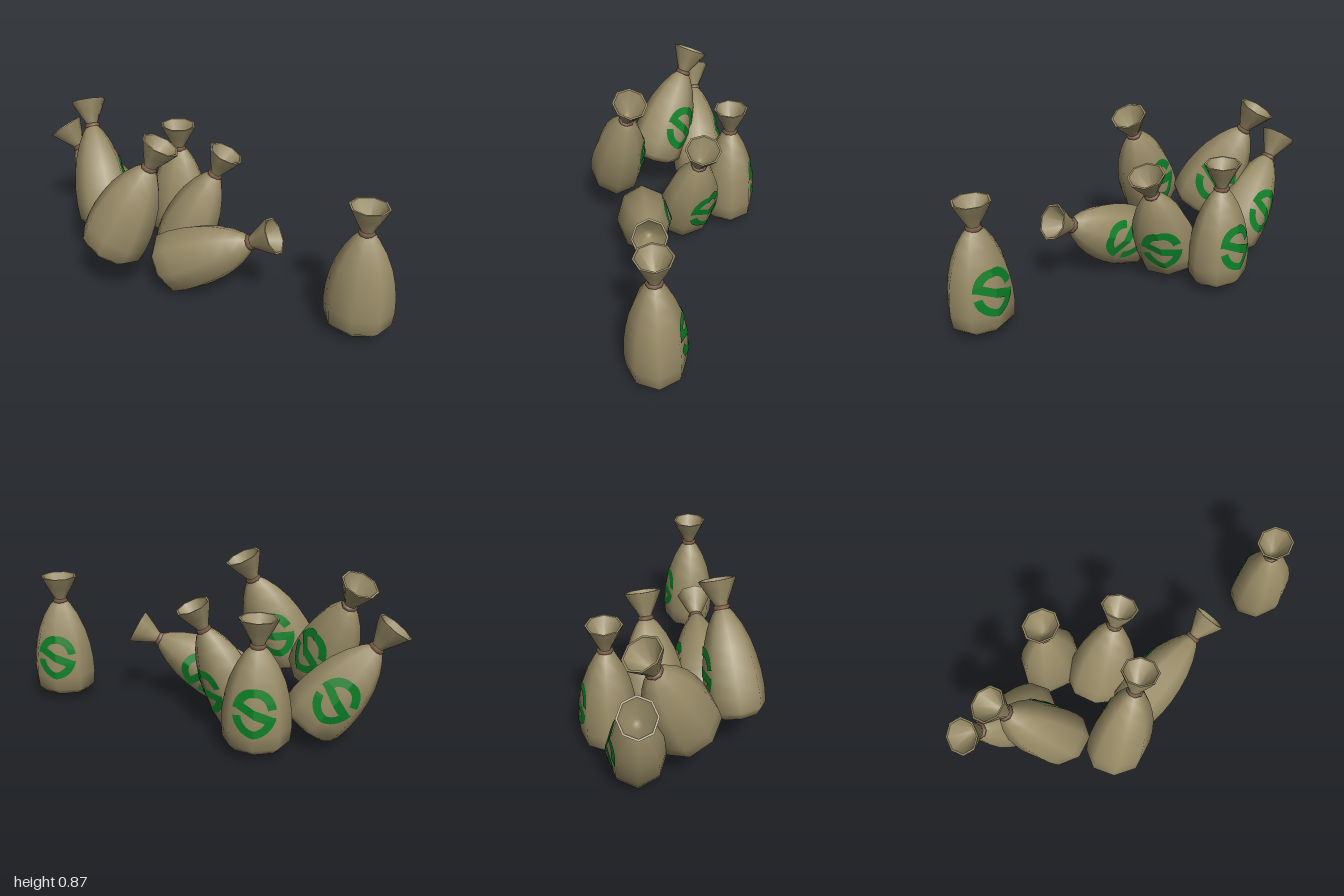
import * as THREE from 'three';
import { mergeGeometries } from 'three/addons/utils/BufferGeometryUtils.js';

const SIDES = 8;
const SQUASH = 0.84; // sacks are flatter from front to back

// Sack outline as [radius, height], from the base to the neck
const PROFILE = [
  [0, 0], [0.128, 0], [0.165, 0.035], [0.172, 0.11], [0.168, 0.19],
  [0.155, 0.27], [0.135, 0.345], [0.1, 0.425], [0.062, 0.485], [0.034, 0.515],
];

const lathe = (points, squash) =>
  new THREE.LatheGeometry(points.map(([r, y]) => new THREE.Vector2(r, y)), SIDES).scale(1, 1, squash);

// Depth of the eight-sided sack at sideways offset x and height y
function sackDepth(x, y) {
  let i = 1;
  while (i < PROFILE.length - 2 && PROFILE[i + 1][1] < y) i++;
  const [r0, y0] = PROFILE[i], [r1, y1] = PROFILE[i + 1];
  const r = THREE.MathUtils.lerp(r0, r1, (y - y0) / (y1 - y0));
  const c = Math.SQRT1_2, a = Math.abs(x) / r;
  const d = a < c ? 1 - (a / c) * (1 - c) : c * (1 - (a - c) / (1 - c));
  return r * Math.max(d, 0) * SQUASH;
}

// Thin painted stroke that follows the back of the sack
function paintedStroke(path, width) {
  const geometry = new THREE.PlaneGeometry(1, 1, 32, 6);
  const pos = geometry.attributes.position;
  for (let i = 0; i < pos.count; i++) {
    const t = pos.getX(i) + 0.5, [x, y] = path(t);
    const [ax, ay] = path(t - 0.01), [bx, by] = path(t + 0.01);
    const len = Math.hypot(bx - ax, by - ay), w = pos.getY(i) * width;
    const px = x - ((by - ay) / len) * w, py = y + ((bx - ax) / len) * w;
    pos.setXYZ(i, px, py, -sackDepth(px, py) - 0.004);
  }
  geometry.computeVertexNormals();
  return geometry;
}

const MARK_Y = 0.225;
const arc = (from, to) => (t) => {
  const a = THREE.MathUtils.degToRad(THREE.MathUtils.lerp(from, to, t));
  return [0.085 * Math.cos(a), MARK_Y + 0.1 * Math.sin(a)];
};

export function createModel() {
  const burlap = new THREE.MeshStandardMaterial({ color: 0x988b66 });
  burlap.name = 'burlap';
  const cord = new THREE.MeshStandardMaterial({ color: 0x7a5a48 });
  cord.name = 'brown cord';
  const paint = new THREE.MeshStandardMaterial({ color: 0x0a7f26, side: THREE.DoubleSide });
  paint.name = 'green paint';

  // Shared parts of every sack
  const parts = [
    ['sackBody', lathe(PROFILE, SQUASH), burlap],
    // Flared mouth: outer skin, rim, and hollow inside
    ['sackMouth', mergeGeometries([
      lathe([[0.03, 0.505], [0.036, 0.535], [0.068, 0.592], [0.094, 0.643], [0.096, 0.65]], 0.93),
      lathe([[0.096, 0.65], [0.086, 0.65]], 0.93),
      lathe([[0.086, 0.65], [0.078, 0.635], [0.025, 0.55], [0, 0.545]], 0.93),
    ]), burlap],
    ['neckTie', new THREE.TorusGeometry(0.028, 0.014, 6, SIDES).rotateX(Math.PI / 2).translate(0, 0.514, 0), cord],
    // Abstract emblem: two arcs and a slanted bar
    ['paintedMark', mergeGeometries([
      paintedStroke(arc(10, 170), 0.04),
      paintedStroke(arc(190, 350), 0.04),
      paintedStroke((t) => [0.075 - 0.15 * t, MARK_Y + 0.035 - 0.07 * t], 0.042),
    ]), paint],
  ];

  // Each sack: neck position, direction of its axis, twist in degrees
  const sacks = [
    [[0.828, 0.549, 0.197], [0, 1, 0], 0],
    [[-0.303, 0.549, -0.302], [0, 1, 0], 0],
    [[0.276, 0.362, 0.185], [0.885, 0.465, 0], 0],
    [[-0.217, 0.705, 0.25], [0.41, 0.9, -0.14], 0],
    [[-0.71, 0.7, -0.094], [-0.3, 0.88, -0.36], -50],
    [[-0.845, 0.523, -0.172], [-0.585, 0.81, 0], 0],
    [[-0.013, 0.538, -0.098], [0.39, 0.91, -0.1], -50],
  ];

  const model = new THREE.Group();
  model.name = 'pileOfSacks';
  const up = new THREE.Vector3(0, 1, 0);
  for (const [neck, direction, twist] of sacks) {
    const sack = new THREE.Group();
    sack.name = 'sack';
    const axis = new THREE.Vector3(...direction).normalize();
    sack.quaternion.setFromUnitVectors(up, axis);
    sack.rotateY(THREE.MathUtils.degToRad(twist));
    sack.position.set(...neck).addScaledVector(axis, -0.514);
    for (const [name, geometry, material] of parts) {
      const mesh = new THREE.Mesh(geometry, material);
      mesh.name = name;
      sack.add(mesh);
    }
    model.add(sack);
  }
  return model;
}
